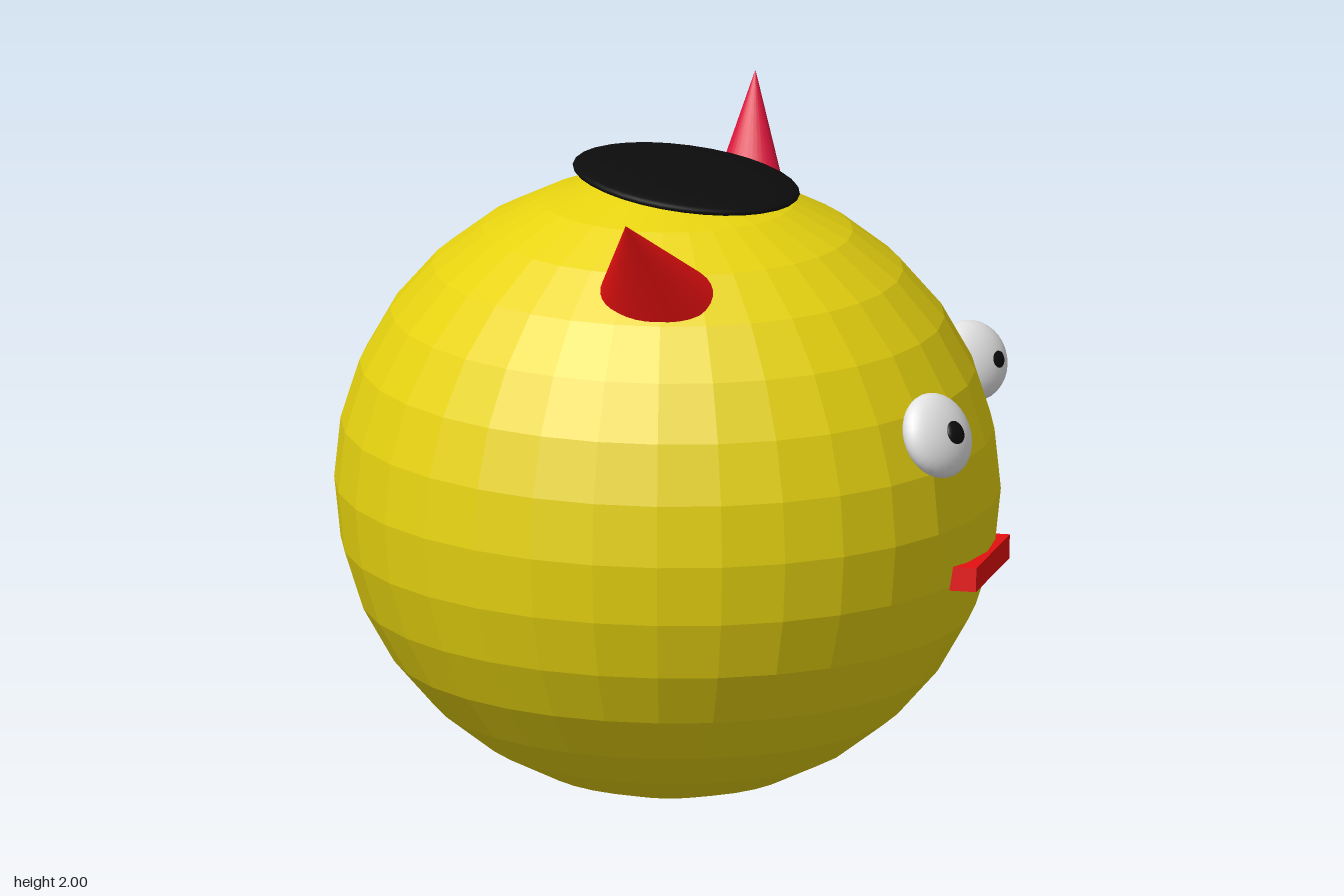
import * as THREE from 'three';

const paint = (name, color) => {
  const m = new THREE.MeshStandardMaterial({ color });
  m.name = name;
  return m;
};
const UP = new THREE.Vector3(0, 1, 0);

export function createModel() {
  const yellow = paint('yellow', 0xe8d410);
  const black = paint('black', 0x0c0c0c);
  const red = paint('red', 0xe61010);
  const crimson = paint('crimson', 0xdc143c);
  const white = paint('white', 0xe4e4e4);

  const model = new THREE.Group();
  model.name = 'roundCreature';

  const add = (name, geometry, material, position) => {
    const mesh = new THREE.Mesh(geometry, material);
    mesh.name = name;
    mesh.position.set(...position);
    model.add(mesh);
    return mesh;
  };

  // Ellipsoid whose short axis (y) points along a direction
  const lens = (name, material, position, radius, thickness, direction) => {
    const mesh = add(name, new THREE.SphereGeometry(1, 32, 20), material, position);
    mesh.scale.set(radius, thickness, radius);
    mesh.quaternion.setFromUnitVectors(UP, new THREE.Vector3(...direction).normalize());
    return mesh;
  };

  // Cone running from a base on the body to its tip, with its foot sunk in
  const horn = (name, material, base, tip, rx, rz, sink) => {
    const b = new THREE.Vector3(...base), t = new THREE.Vector3(...tip);
    const axis = t.clone().sub(b);
    b.addScaledVector(axis, -sink);
    const height = axis.length() * (1 + sink);
    const geometry = new THREE.ConeGeometry(1, height, 32);
    geometry.scale(rx * (1 + sink), 1, rz * (1 + sink));
    const mesh = add(name, geometry, material, b.add(t).multiplyScalar(0.5).toArray());
    mesh.quaternion.setFromUnitVectors(UP, axis.normalize());
  };

  // Faceted body
  const body = new THREE.SphereGeometry(1, 32, 16).scale(0.96, 0.912, 0.885).toNonIndexed();
  body.computeVertexNormals();
  add('body', body, yellow, [-0.01, 0.917, 0]);

  // Tilted cap on the crown
  const cap = lens('cap', black, [0.043, 1.822, -0.01], 0.33, 0.035, [0.12, 1, 0]);
  cap.scale.z = 0.298;

  // Horns
  horn('frontHorn', red, [0.075, 1.645, 0.525], [0.05, 1.89, 0.73], 0.155, 0.107, 0.12);
  horn('backHorn', crimson, [0.115, 1.665, -0.465], [0.11, 2.0, -0.555], 0.105, 0.065, 0.2);

  // Eyes and pupils, on the +x side
  lens('frontEye', white, [0.865, 1.205, 0.31], 0.125, 0.062, [0.8, 0.4, 0.4]);
  lens('frontPupil', black, [0.92, 1.222, 0.322], 0.036, 0.016, [0.8, 0.5, 0.3]);
  lens('backEye', white, [0.762, 1.195, -0.492], 0.118, 0.068, [0.7, 0.35, 0.6]);
  lens('backPupil', black, [0.83, 1.205, -0.503], 0.036, 0.018, [0.8, 0.4, 0.35]);

  // Mouth bar, slightly slanted
  const mouth = add('mouth', new THREE.BoxGeometry(0.078, 0.07, 0.492), red, [0.912, 0.742, 0]);
  mouth.rotation.set(-0.078, 0.05, 0);

  return model;
}
